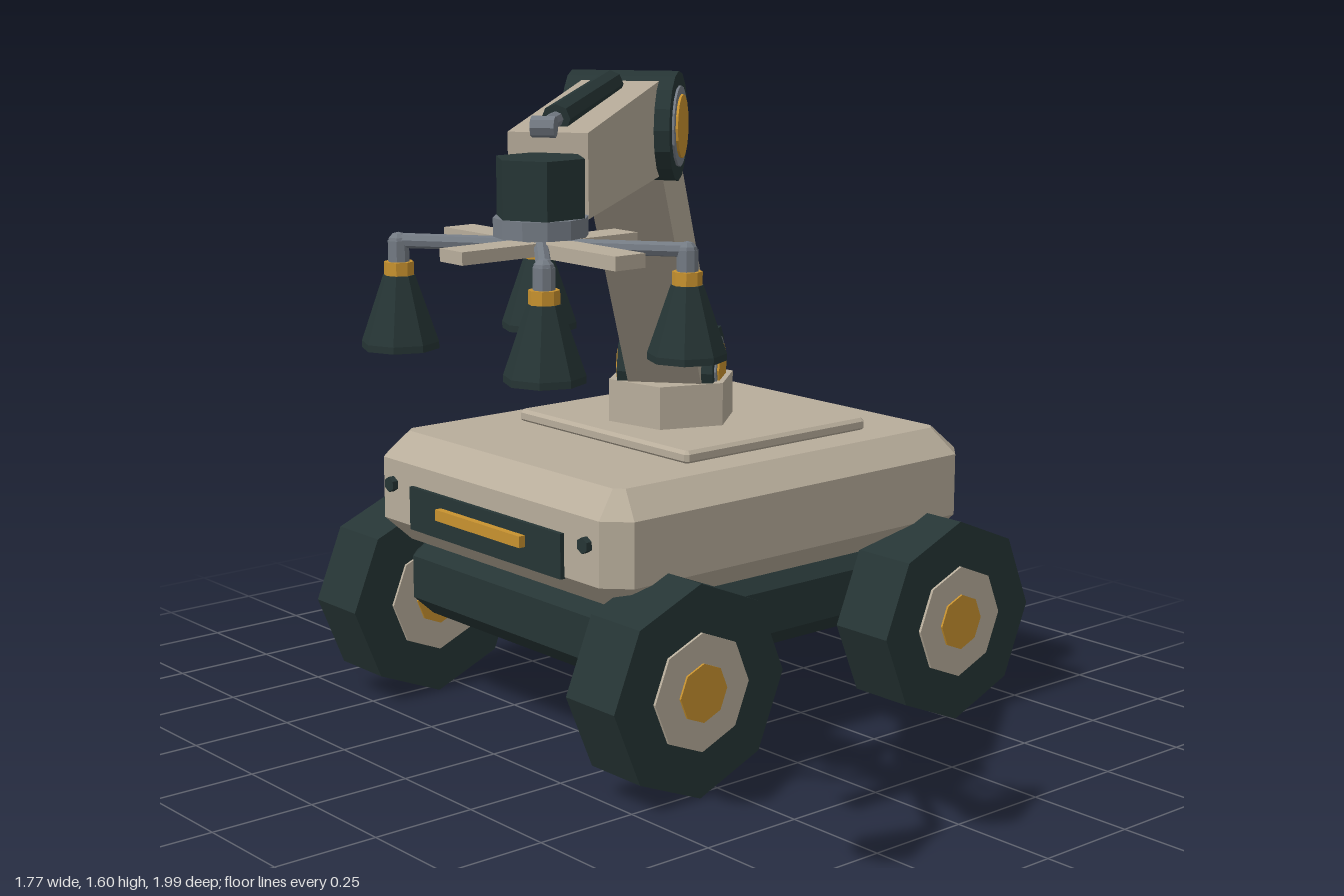
import * as THREE from 'three';

const mat = (name, color) => {
  const m = new THREE.MeshStandardMaterial({ color });
  m.name = name;
  return m;
};

export function createModel() {
  const shell = mat('warm beige', 0xb8ad9b);
  const dark = mat('dark slate', 0x263535);
  const gold = mat('amber', 0xc8922f);
  const steel = mat('steel grey', 0x747b84);
  const root = new THREE.Group();
  root.name = 'mobileArmRobot';

  // Facet a geometry and add it as a named mesh
  function add(parent, name, geo, material, x = 0, y = 0, z = 0) {
    const flat = geo.index ? geo.toNonIndexed() : geo;
    flat.computeVertexNormals();
    const mesh = new THREE.Mesh(flat, material);
    mesh.name = name;
    mesh.position.set(x, y, z);
    parent.add(mesh);
    return mesh;
  }
  const box = (w, h, d) => new THREE.BoxGeometry(w, h, d);
  const cyl = (r1, r2, h, n) => new THREE.CylinderGeometry(r1, r2, h, n);
  const axle = (r, w, n) => cyl(r, r, w, n).rotateZ(Math.PI / 2);

  // Block with chamfered rims and cut corners, standing on y = 0
  function block(w, h, d, bevel, cut) {
    const a = w / 2 - bevel, b = d / 2 - bevel;
    const s = new THREE.Shape([
      [a, b - cut], [a - cut, b], [cut - a, b], [-a, b - cut],
      [-a, cut - b], [cut - a, -b], [a - cut, -b], [a, cut - b],
    ].map(([x, y]) => new THREE.Vector2(x, y)));
    return new THREE.ExtrudeGeometry(s, {
      depth: h - 2 * bevel, bevelEnabled: true, bevelSize: bevel,
      bevelThickness: bevel, bevelSegments: 1,
    }).rotateX(-Math.PI / 2).translate(0, bevel, 0);
  }

  // Rod between two points
  function rod(parent, name, p, q, r, n, material) {
    const a = new THREE.Vector3(...p), b = new THREE.Vector3(...q);
    const mesh = add(parent, name, cyl(r, r, a.distanceTo(b), n), material);
    mesh.position.copy(a).add(b).multiplyScalar(0.5);
    mesh.quaternion.setFromUnitVectors(new THREE.Vector3(0, 1, 0), b.sub(a).normalize());
    return mesh;
  }

  // Vehicle, centred under the arm
  const base = new THREE.Group();
  base.name = 'vehicle';
  base.position.set(-0.302, 0, -0.34);
  root.add(base);
  add(base, 'body', block(0.935, 0.271, 1.13, 0.06, 0.02), shell, 0, 0.415, 0);
  add(base, 'chassis', block(0.825, 0.195, 1.02, 0.045, 0.01), dark, 0, 0.225, 0);
  add(base, 'deckPlate', block(0.63, 0.032, 0.58, 0.008, 0.004), shell, 0.004, 0.683, -0.06);

  // Lamp panels and bolts on front and back
  for (const s of [1, -1]) {
    add(base, 'lampPanel', box(0.58, 0.105, 0.02), dark, 0, 0.523, s * 0.566);
    add(base, 'lampBar', box(0.325, 0.027, 0.035), gold, 0, 0.533, s * 0.576);
    for (const x of [-0.371, 0.371])
      add(base, 'bolt', cyl(0.019, 0.019, 0.03, 6).rotateX(Math.PI / 2), dark, x, 0.566, s * 0.565);
  }

  // Beacon
  add(base, 'beaconBase', cyl(0.063, 0.063, 0.055, 6), dark, -0.312, 0.711, -0.373);
  add(base, 'beaconLight', cyl(0.044, 0.047, 0.02, 6), gold, -0.312, 0.747, -0.373);

  // Wheels
  for (const x of [-0.495, 0.495]) {
    for (const z of [-0.415, 0.413]) {
      const wheel = new THREE.Group();
      wheel.name = 'wheel';
      wheel.position.set(x, 0.247, z);
      base.add(wheel);
      add(wheel, 'tyre', axle(0.247, 0.165, 8), dark);
      add(wheel, 'hub', axle(0.137, 0.178, 8), shell);
      add(wheel, 'hubCap', axle(0.068, 0.188, 8), gold);
    }
  }

  // Arm, turned towards the front left
  const arm = new THREE.Group();
  arm.name = 'arm';
  arm.position.copy(base.position);
  arm.rotation.y = THREE.MathUtils.degToRad(39.2);
  root.add(arm);
  add(arm, 'turret', cyl(0.16, 0.16, 0.11, 6), shell, 0, 0.763, 0);

  function joint(name, r, y, z, n) {
    const g = new THREE.Group();
    g.name = name;
    g.position.set(0, y, z);
    arm.add(g);
    add(g, 'drum', axle(r, 0.232, n), dark);
    add(g, 'ring', axle(r * 0.74, 0.242, n), steel);
    add(g, 'cap', axle(r * 0.58, 0.252, n), gold);
  }
  joint('shoulder', 0.1, 0.842, 0, 10);
  joint('elbow', 0.117, 1.475, 0.581, 16);

  // Tapered beam along +z with an actuator lying on its upper face
  function link(name, y, z, pitch, len, w0, h0, w1, h1, [t0, t1, t2], o0, o1) {
    const g = new THREE.Group();
    g.name = name;
    g.position.set(0, y, z);
    g.rotation.x = -pitch;
    arm.add(g);
    const geo = box(1, 1, len).translate(0, 0, len / 2);
    const p = geo.attributes.position;
    for (let i = 0; i < p.count; i++) {
      const k = p.getZ(i) / len;
      p.setX(i, p.getX(i) * (w0 + (w1 - w0) * k));
      p.setY(i, p.getY(i) * (h0 + (h1 - h0) * k));
    }
    add(g, 'beam', geo, shell);
    const end = o1 + (o1 - o0) * (t2 - t1) / (t1 - t0);
    rod(g, 'actuatorTube', [0, o0, t0], [0, o1, t1], 0.028, 8, dark);
    rod(g, 'actuatorRod', [0, o1, t1 - 0.02], [0, end, t2], 0.015, 8, steel);
    add(g, 'rodEnd', axle(0.02, 0.045, 8), steel, 0, end, t2);
  }
  link('upperArm', 0.842, 0, 0.829, 0.86, 0.178, 0.18, 0.168, 0.175, [0.135, 0.7, 0.8], 0.1, 0.098);
  link('forearm', 1.475, 0.581, -0.033, 0.75, 0.168, 0.205, 0.152, 0.16, [0.16, 0.68, 0.78], 0.106, 0.096);

  // Gripper head, squared to the vehicle
  const head = new THREE.Group();
  head.name = 'gripper';
  head.position.set(0.591, 0, 0.75);
  root.add(head);
  add(head, 'wristMotor', cyl(0.087, 0.087, 0.115, 6), dark, 0, 1.435, 0);
  add(head, 'wristFlange', cyl(0.088, 0.088, 0.035, 12), steel, 0, 1.367, 0);
  add(head, 'hubPost', cyl(0.04, 0.04, 0.04, 8), steel, 0, 1.335, 0);
  add(head, 'crossBarWide', box(0.51, 0.026, 0.068), shell, 0, 1.329, 0);
  add(head, 'crossBarDeep', box(0.068, 0.024, 0.405), shell, 0, 1.329, 0);

  // Suction cups, hollow below
  const cupProfile = [[0, 1.19], [0.03, 1.185], [0.058, 1.13], [0.073, 1.13], [0.073, 1.143],
    [0.03, 1.268], [0, 1.268]].map(([x, y]) => new THREE.Vector2(x, y));
  for (const x of [-0.219, 0.219]) {
    for (const z of [-0.164, 0.164]) {
      rod(head, 'airPipe', [0, 1.332, 0], [x, 1.332, z], 0.014, 8, steel);
      add(head, 'pipeElbow', new THREE.SphereGeometry(0.02, 8, 6), steel, x, 1.328, z);
      add(head, 'cupStem', cyl(0.02, 0.02, 0.05, 8), steel, x, 1.307, z);
      add(head, 'cupCollar', cyl(0.028, 0.028, 0.026, 8), gold, x, 1.28, z);
      add(head, 'suctionCup', new THREE.LatheGeometry(cupProfile, 8), dark, x, 0, z);
    }
  }
  return root;
}
